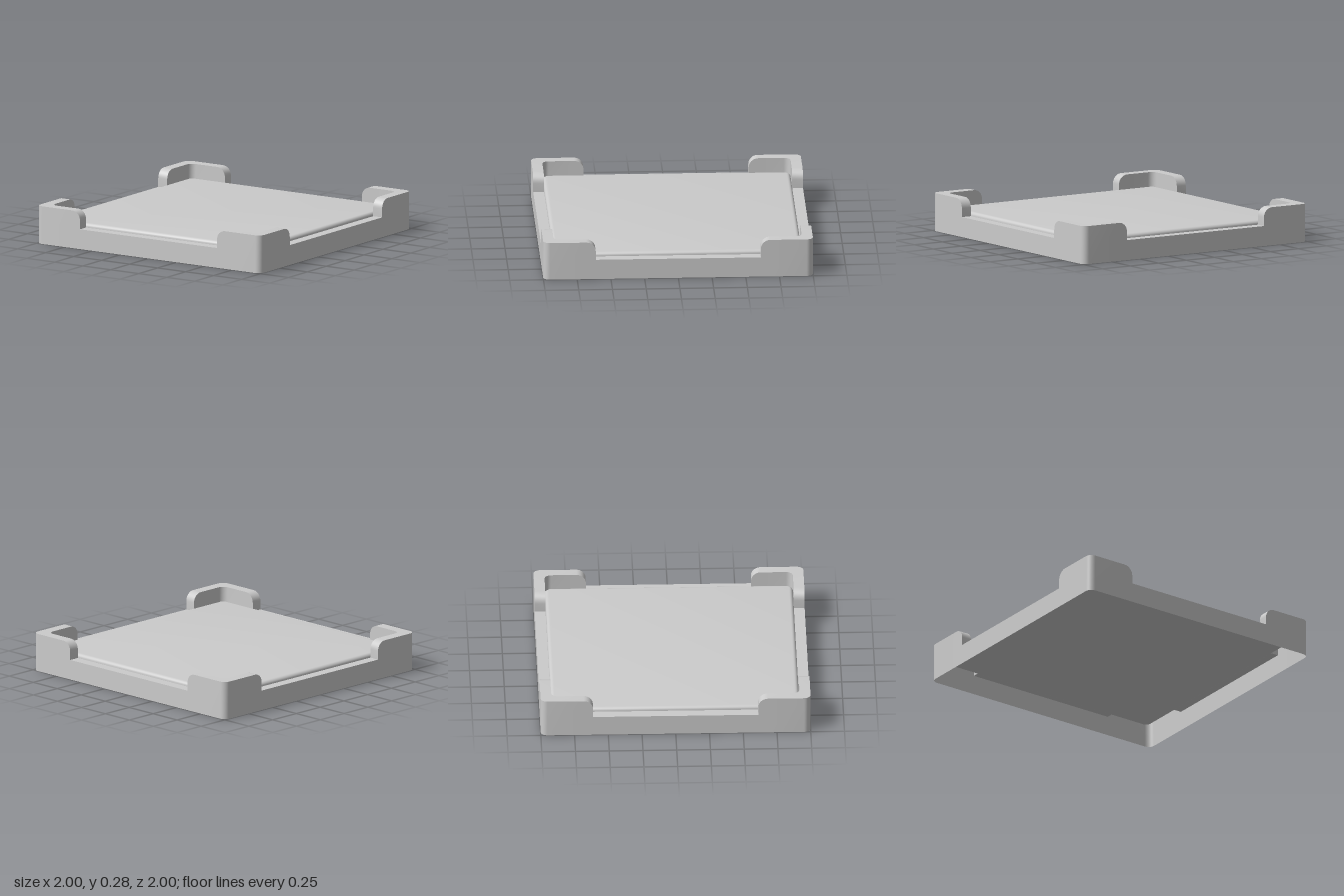
import * as THREE from 'three';
import { toCreasedNormals } from 'three/addons/utils/BufferGeometryUtils.js';

const OUTER = 1, INNER = 0.92, RADIUS = 0.05; // plan of the wall
const LOW = 0.15, HIGH = 0.285;               // wall height at notches and corners
const NOTCH = 0.612, ROUND = 0.07;            // notch half width, rounding of its shoulders

// Stations along a quarter of the wall, each a column: outer foot, outer top, inner top, inner foot
function wallColumns() {
  const columns = [];
  const add = (xo, zo, xi, zi, h) => columns.push([
    [xo, 0, zo], [xo, h, zo], [xi, h, zi], [xi, LOW, zi]]);

  // notch and rounded shoulder as [distance along side, height]
  const side = [[0, LOW], [NOTCH, LOW]];
  for (let i = 0; i <= 8; i++) {
    const a = (i / 8) * Math.PI / 2;
    side.push([NOTCH + ROUND * (1 - Math.cos(a)), HIGH - ROUND * (1 - Math.sin(a))]);
  }
  side.forEach(([t, h]) => add(t, OUTER, t, INNER, h));

  // rounded corner
  for (let i = 0; i <= 8; i++) {
    const a = (i / 8) * Math.PI / 2;
    const s = Math.sin(a) * RADIUS, c = Math.cos(a) * RADIUS;
    add(OUTER - RADIUS + s, OUTER - RADIUS + c, INNER - RADIUS + s, INNER - RADIUS + c, HIGH);
  }
  // second half of the corner, up to the middle of the next side
  side.reverse().forEach(([t, h]) => add(OUTER, t, INNER, t, h));
  return columns;
}

// Open-bottomed wall with raised corners
function wallGeometry() {
  const columns = wallColumns(), positions = [];
  for (let q = 0; q < 4; q++) {
    const turn = ([x, y, z]) => {
      for (let k = 0; k < q; k++) [x, z] = [z, -x];
      return [x, y, z];
    };
    for (let i = 0; i < columns.length - 1; i++) {
      const a = columns[i].map(turn), b = columns[i + 1].map(turn);
      for (let r = 0; r < 3; r++) {
        positions.push(...a[r], ...b[r], ...b[r + 1], ...a[r], ...b[r + 1], ...a[r + 1]);
      }
    }
  }
  const geometry = new THREE.BufferGeometry();
  geometry.setAttribute('position', new THREE.Float32BufferAttribute(positions, 3));
  return toCreasedNormals(geometry, Math.PI / 6);
}

// Flat plate with softened edges
function plateGeometry() {
  const bevel = 0.028, h = INNER - bevel, r = RADIUS - bevel;
  const shape = new THREE.Shape();
  shape.absarc(h - r, h - r, r, 0, Math.PI / 2);
  shape.absarc(-h + r, h - r, r, Math.PI / 2, Math.PI);
  shape.absarc(-h + r, -h + r, r, Math.PI, Math.PI * 1.5);
  shape.absarc(h - r, -h + r, r, Math.PI * 1.5, Math.PI * 2);
  shape.closePath();
  const geometry = new THREE.ExtrudeGeometry(shape, {
    depth: 0.004, bevelSize: bevel, bevelThickness: bevel, bevelSegments: 6, curveSegments: 8,
  });
  geometry.rotateX(-Math.PI / 2);
  geometry.translate(0, 0.148, 0); // top at 0.18, underside at 0.12
  return toCreasedNormals(geometry, Math.PI / 6);
}

export function createModel() {
  const group = new THREE.Group();
  group.name = 'tray';

  const wall = new THREE.Mesh(wallGeometry(),
    new THREE.MeshStandardMaterial({ color: 0xcccccc, side: THREE.DoubleSide }));
  wall.name = 'wall';

  const plate = new THREE.Mesh(plateGeometry(), new THREE.MeshStandardMaterial({ color: 0xcccccc }));
  plate.name = 'plate';

  group.add(wall, plate);
  return group;
}
